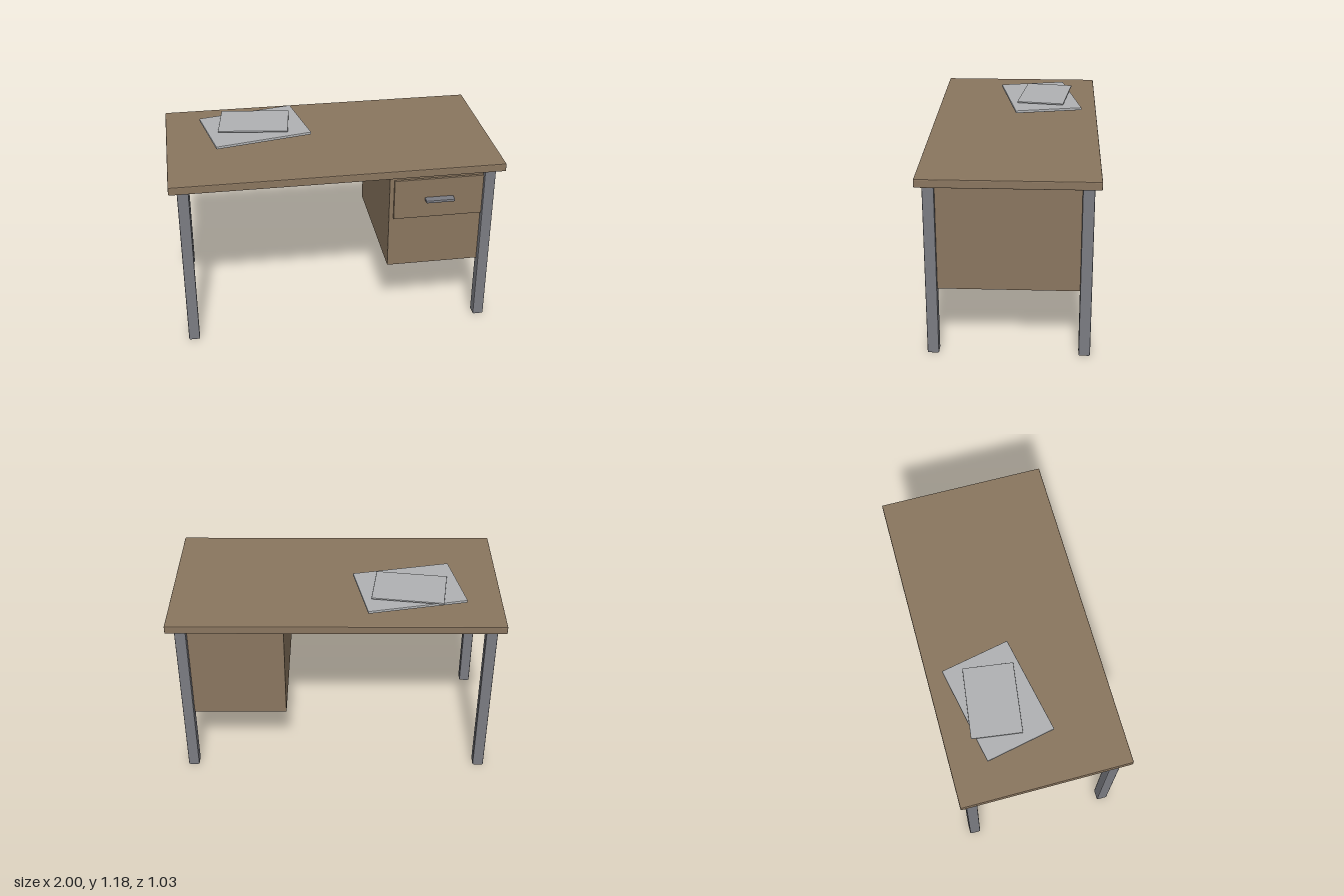
import * as THREE from 'three';
import { RoundedBoxGeometry } from 'three/addons/geometries/RoundedBoxGeometry.js';

const mat = (name, color) => {
  const m = new THREE.MeshStandardMaterial({ color });
  m.name = name;
  return m;
};

// Box given by its limits on each axis, with a small flat chamfer.
function chamferBox(name, material, [x0, x1], [y0, y1], [z0, z1], bevel) {
  const geo = new RoundedBoxGeometry(x1 - x0, y1 - y0, z1 - z0, 1, bevel);
  geo.computeVertexNormals();
  const mesh = new THREE.Mesh(geo, material);
  mesh.name = name;
  mesh.position.set((x0 + x1) / 2, (y0 + y1) / 2, (z0 + z1) / 2);
  return mesh;
}

export function createModel() {
  const wood = mat('wood', 0x8a765f);
  const metal = mat('metal', 0x7b7c82);
  const paper = mat('paper', 0xb0b2b4);

  const desk = new THREE.Group();
  desk.name = 'desk';

  desk.add(chamferBox('desktop', wood, [-1, 1], [1.065, 1.116], [-0.515, 0.515], 0.006));

  // Four square legs
  for (const sx of [-1, 1]) {
    for (const sz of [-1, 1]) {
      const name = (sz > 0 ? 'front' : 'back') + (sx > 0 ? 'Left' : 'Right') + 'Leg';
      const leg = chamferBox(name, metal, [-0.034, 0.034], [0, 1.06], [-0.034, 0.034], 0.007);
      leg.position.x = sx * 0.918;
      leg.position.z = sz * 0.443;
      desk.add(leg);
    }
  }

  // Cabinet hung between the legs on one side
  const cabinet = new THREE.Group();
  cabinet.name = 'cabinet';
  cabinet.add(
    chamferBox('cabinetBody', wood, [0.31, 0.93], [0.415, 1.058], [-0.44, 0.44], 0.003),
    chamferBox('drawerFront', wood, [0.337, 0.903], [0.755, 1.017], [0.43, 0.455], 0.004),
    chamferBox('drawerHandle', metal, [0.525, 0.703], [0.875, 0.893], [0.45, 0.502], 0.006),
  );
  desk.add(cabinet);

  // Two loose sheets, turned opposite ways and floating just above the top
  const largeSheet = chamferBox('largeSheet', paper, [-0.304, 0.304], [1.142, 1.16], [-0.215, 0.215], 0.005);
  largeSheet.position.x = -0.444;
  largeSheet.position.z = -0.148;
  largeSheet.rotation.y = 0.2;
  const smallSheet = chamferBox('smallSheet', paper, [-0.216, 0.216], [1.167, 1.177], [-0.151, 0.151], 0.003);
  smallSheet.position.x = -0.444;
  smallSheet.position.z = -0.179;
  smallSheet.rotation.y = -0.135;
  desk.add(largeSheet, smallSheet);

  return desk;
}
